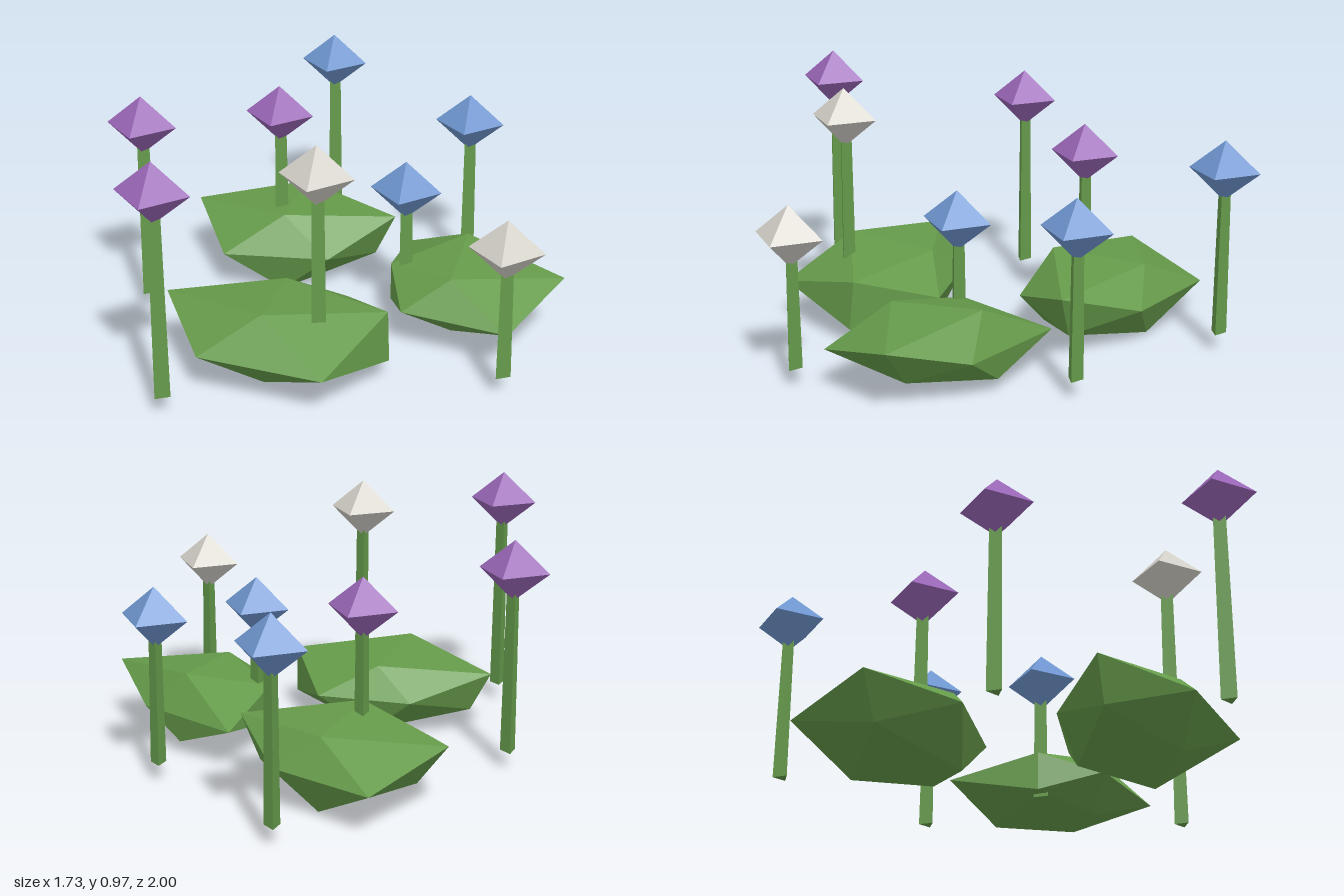
import * as THREE from 'three';
import { ConvexGeometry } from 'three/addons/geometries/ConvexGeometry.js';

const paint = (name, color) => {
  const m = new THREE.MeshStandardMaterial({ color });
  m.name = name;
  return m;
};

// Leaf clumps: squashed, irregular twenty-sided lumps.
// Each has a waist of four corners at one height, an upper and lower point
// on either side, and a ridge of two points above and below.
const WAIST = 0.166;
const CLUMPS = [
  {
    name: 'backLeafClump',
    waist: [[-0.516, -0.709], [-0.098, -0.603], [-0.077, -0.116], [-0.489, -0.069]],
    sides: [[-0.677, 0.258, -0.37], [-0.56, 0.1, -0.37], [0.14, 0.26, -0.37], [0.06, 0.09, -0.37]],
    ridges: [[-0.27, 0.31, -0.18], [-0.27, 0.294, -0.556], [-0.267, 0.003, -0.144], [-0.267, 0.016, -0.57]],
  },
  {
    name: 'frontLeafClump',
    waist: [[-0.3, 0.217], [0.066, 0.159], [0.124, 0.794], [-0.352, 0.73]],
    sides: [[-0.553, 0.258, 0.434], [-0.47, 0.1, 0.434], [0.277, 0.263, 0.42], [0.286, 0.072, 0.435]],
    ridges: [[-0.137, 0.313, 0.636], [-0.137, 0.28, 0.28], [-0.133, 0.027, 0.246], [-0.133, 0.037, 0.63]],
  },
  {
    name: 'sideLeafClump',
    waist: [[0.198, -0.354], [0.627, -0.222], [0.7, 0.323], [0.288, 0.238]],
    sides: [[0.2, 0.24, 0], [0.2, 0.09, 0], [0.863, 0.258, 0], [0.705, 0.09, 0]],
    ridges: [[0.463, 0.29, 0.17], [0.463, 0.308, -0.19], [0.463, 0.064, 0.15], [0.463, 0.053, -0.25]],
  },
];

// Flower head centres by petal colour.
const FLOWERS = {
  purple: [[-0.733, 0.777, 0.13], [-0.44, 0.857, 0.86], [-0.312, 0.697, -0.288]],
  blue: [[-0.23, 0.714, -0.865], [0.405, 0.635, -0.52], [0.253, 0.556, 0]],
  white: [[0.05, 0.838, 0.56], [0.7, 0.575, 0.45]],
};
const STEM_BASE = 0.073;

export function createModel() {
  const model = new THREE.Group();
  model.name = 'flowerPatch';
  const green = paint('leaf green', 0x659a4a);
  const petals = {
    purple: paint('petal purple', 0x9966b6),
    blue: paint('petal blue', 0x6e95cf),
    white: paint('petal white', 0xd3d0c8),
  };

  const add = (parent, name, geometry, material) => {
    const mesh = new THREE.Mesh(geometry, material);
    mesh.name = name;
    parent.add(mesh);
    return mesh;
  };

  // Leaf clumps
  for (const { name, waist, sides, ridges } of CLUMPS) {
    const corners = waist.map(([x, z]) => [x, WAIST, z]);
    const points = [...corners, ...sides, ...ridges].map((p) => new THREE.Vector3(...p));
    add(model, name, new ConvexGeometry(points), green);
  }

  // Flattened eight-sided flower head shared by all flowers
  const headGeometry = new THREE.OctahedronGeometry(0.135);
  headGeometry.scale(1, 0.85, 1);

  for (const [colour, centres] of Object.entries(FLOWERS)) {
    for (const [x, y, z] of centres) {
      const flower = new THREE.Group();
      flower.name = `${colour}Flower`;
      flower.position.set(x, 0, z);
      model.add(flower);

      // Three-sided tapering stem, one edge towards +x
      const height = y - STEM_BASE;
      const stemGeometry = new THREE.CylinderGeometry(0.026, 0.033, height, 3).toNonIndexed();
      stemGeometry.rotateY(Math.PI / 2);
      stemGeometry.computeVertexNormals();
      add(flower, 'stem', stemGeometry, green).position.y = STEM_BASE + height / 2;

      add(flower, 'flowerHead', headGeometry, petals[colour]).position.y = y;
    }
  }
  return model;
}
